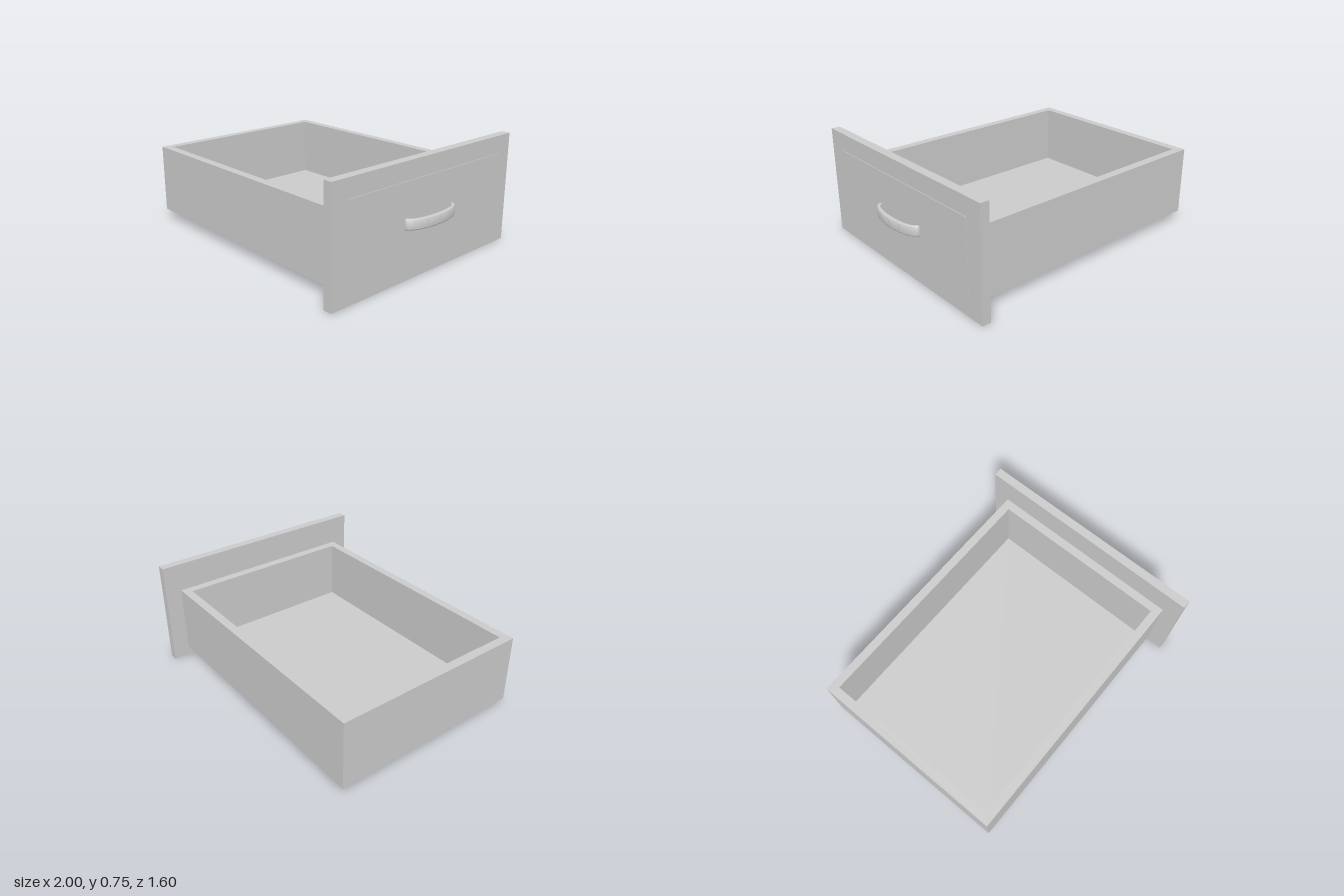
import * as THREE from 'three';
import { toCreasedNormals } from 'three/addons/utils/BufferGeometryUtils.js';

const material = new THREE.MeshStandardMaterial({ color: 0xcccccc });

function add(group, name, geometry) {
  const mesh = new THREE.Mesh(geometry, material);
  mesh.name = name;
  group.add(mesh);
  return mesh;
}

// Box given by its minimum and maximum corners
function block(group, name, [x0, y0, z0], [x1, y1, z1]) {
  const mesh = add(group, name, new THREE.BoxGeometry(x1 - x0, y1 - y0, z1 - z0));
  mesh.position.set((x0 + x1) / 2, (y0 + y1) / 2, (z0 + z1) / 2);
}

const rectangle = (x0, x1, halfZ) => [
  new THREE.Vector2(x0, -halfZ), new THREE.Vector2(x1, -halfZ),
  new THREE.Vector2(x1, halfZ), new THREE.Vector2(x0, halfZ),
];

export function createModel() {
  const group = new THREE.Group();
  group.name = 'drawer';

  // Four walls as one upright frame
  const frame = new THREE.Shape(rectangle(-1, 0.86, 0.685));
  frame.holes.push(new THREE.Path(rectangle(-0.94, 0.8, 0.627)));
  const walls = new THREE.ExtrudeGeometry(frame, { depth: 0.475, bevelEnabled: false });
  walls.rotateX(-Math.PI / 2).translate(0, 0.068, 0);
  add(group, 'drawerWalls', walls);

  // Floor between the walls
  block(group, 'drawerFloor', [-0.94, 0.068, -0.627], [0.8, 0.12, 0.627]);

  // Front board with a thin raised panel
  block(group, 'frontBoard', [0.86, 0, -0.8], [0.92, 0.745, 0.8]);
  block(group, 'raisedPanel', [0.915, 0.124, -0.682], [0.924, 0.625, 0.682]);

  // Bowed pull handle: half an elliptical ring with rounded edges, its ends sunk in the board
  const bow = new THREE.Shape();
  bow.moveTo(0.9, -0.225);
  bow.lineTo(0.92, -0.225);
  bow.absellipse(0.92, 0, 0.08, 0.225, -Math.PI / 2, Math.PI / 2, false);
  bow.lineTo(0.9, 0.225);
  bow.lineTo(0.9, 0.197);
  bow.lineTo(0.92, 0.197);
  bow.absellipse(0.92, 0, 0.05, 0.197, Math.PI / 2, -Math.PI / 2, true);
  bow.lineTo(0.9, -0.197);
  const bevel = 0.01;
  const handle = new THREE.ExtrudeGeometry(bow, {
    depth: 0.07 - 2 * bevel, curveSegments: 32,
    bevelThickness: bevel, bevelSize: bevel, bevelOffset: -bevel, bevelSegments: 4,
  });
  handle.rotateX(-Math.PI / 2).translate(0, 0.33 + bevel, 0);
  add(group, 'pullHandle', toCreasedNormals(handle, Math.PI / 5));

  return group;
}
